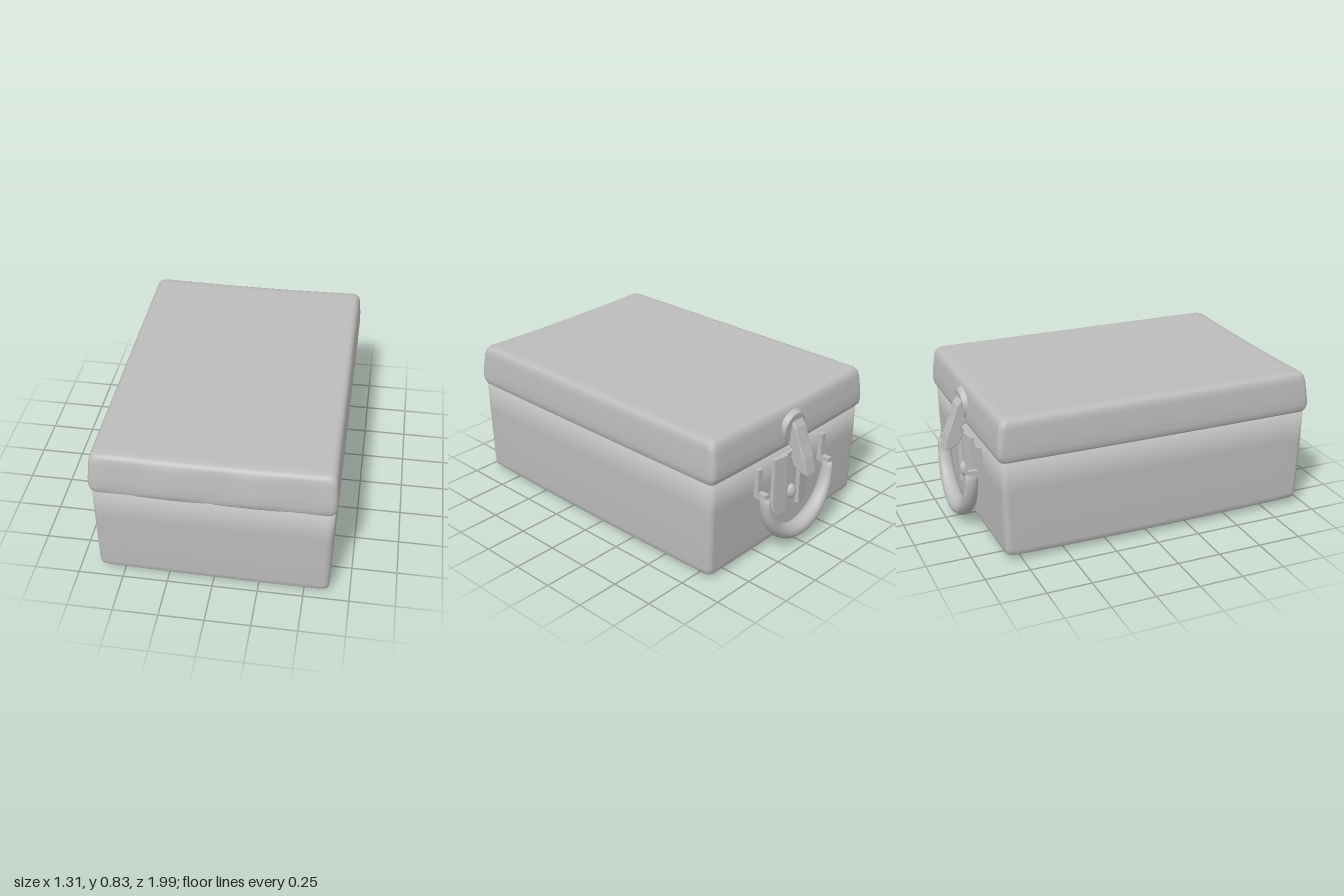
import * as THREE from 'three';

const grey = new THREE.MeshStandardMaterial({ color: 0xbcbcbc });
grey.name = 'plain grey';

// Skin a list of equal-length closed rings and cap both ends
function loft(rings) {
  const n = rings[0].length, pos = [], idx = [];
  rings.forEach(r => r.forEach(p => pos.push(p.x, p.y, p.z)));
  for (let i = 0; i < rings.length - 1; i++) {
    for (let j = 0; j < n; j++) {
      const k = (j + 1) % n;
      const a = i * n + j, b = i * n + k, c = b + n, d = a + n;
      idx.push(a, b, c, a, c, d);
    }
  }
  [rings[0], rings[rings.length - 1]].forEach((ring, end) => {
    const c = ring.reduce((s, p) => s.add(p), new THREE.Vector3()).divideScalar(n);
    const ci = pos.length / 3, base = end ? (rings.length - 1) * n : 0;
    pos.push(c.x, c.y, c.z);
    for (let j = 0; j < n; j++) {
      const a = base + j, b = base + (j + 1) % n;
      if (end) idx.push(ci, a, b); else idx.push(ci, b, a);
    }
  });
  const g = new THREE.BufferGeometry();
  g.setAttribute('position', new THREE.Float32BufferAttribute(pos, 3));
  g.setIndex(idx);
  g.computeVertexNormals();
  return g;
}

// Horizontal rounded rectangle, slightly warped like a hand-made case
function caseRing([y, hx, back, front, wave = 0]) {
  const r = Math.min(0.035, hx * 0.5), pts = [];
  const cx = hx - r, zb = back + r, zf = front - r;
  const corners = [[cx, zb, 0], [-cx, zb, 1], [-cx, zf, 2], [cx, zf, 3]];
  corners.forEach(([x, z, q], i) => {
    for (let s = 0; s <= 4; s++) {
      const a = (q + s / 4) * Math.PI / 2;
      pts.push(new THREE.Vector3(x + r * Math.cos(a), y, z - r * Math.sin(a)));
    }
    const p = pts[pts.length - 1], [nx, nz, nq] = corners[(i + 1) % 4];
    const a = nq * Math.PI / 2;
    const q2 = new THREE.Vector3(nx + r * Math.cos(a), y, nz - r * Math.sin(a));
    for (let s = 1; s < 12; s++) pts.push(p.clone().lerp(q2, s / 12));
  });
  pts.forEach(p => {
    const t = p.y / 0.82, x2 = (p.x / 0.64) ** 2;
    if (p.z > 0.9) p.z -= wave * (0.5 + 0.5 * Math.cos(p.x * 14));
    p.y += (1 - t) * (0.012 * p.z * p.z + 0.005 * x2 - 0.009 * p.x / 0.64) + t * 0.01 * x2;
  });
  return pts;
}

export function createModel() {
  const root = new THREE.Group();
  root.name = 'carryCase';
  const add = (name, geo, x = 0, y = 0, z = 0) => {
    const m = new THREE.Mesh(geo, grey);
    m.name = name;
    m.position.set(x, y, z);
    root.add(m);
    return m;
  };

  // Lower box: rows are height, half width, back z, front z
  add('caseBody', loft([
    [0.003, 0.2, -0.3, 0.45], [0.003, 0.45, -0.62, 0.75], [0.004, 0.6, -0.805, 0.925],
    [0.010, 0.622, -0.828, 0.948], [0.022, 0.634, -0.838, 0.958], [0.05, 0.638, -0.841, 0.963],
    [0.2, 0.64, -0.845, 0.967], [0.4, 0.641, -0.85, 0.973], [0.59, 0.642, -0.853, 0.976],
  ].map(caseRing)));

  // Lid with a flared lip that tapers in towards the top
  add('lid', loft([
    [0.565, 0.636, -0.846, 0.968], [0.575, 0.643, -0.855, 0.977, 0.002],
    [0.59, 0.651, -0.866, 0.985, 0.008], [0.62, 0.655, -0.872, 0.994, 0.015],
    [0.68, 0.652, -0.868, 0.987, 0.012], [0.76, 0.646, -0.858, 0.974, 0.008],
    [0.788, 0.641, -0.85, 0.966, 0.004], [0.806, 0.630, -0.838, 0.954], [0.814, 0.612, -0.82, 0.935],
    [0.816, 0.58, -0.78, 0.89], [0.812, 0.45, -0.62, 0.75], [0.811, 0.2, -0.3, 0.45],
  ].map(caseRing)));

  // Crescent handle, thickest at the bottom of its swing
  const rings = [];
  for (let i = 0; i <= 24; i++) {
    const a = i / 24 * Math.PI, s = Math.sin(a);
    const c = new THREE.Vector3(-0.28 * Math.cos(a), 0.38 - 0.305 * s, -0.913 - 0.012 * s);
    const out = new THREE.Vector3(-Math.cos(a), -s, 0);
    const ring = [];
    for (let j = 0; j < 12; j++) {
      const b = j / 12 * Math.PI * 2;
      const p = c.clone().addScaledVector(out, (0.018 + 0.026 * s) * Math.cos(b));
      p.z += (0.034 + 0.018 * s) * Math.sin(b);
      ring.push(p);
    }
    rings.push(ring.reverse());
  }
  add('handle', loft(rings));

  // Straps holding the handle ends
  for (const side of [-1, 1]) {
    const name = side > 0 ? 'left' : 'right';
    add(name + 'HandleStrap', new THREE.BoxGeometry(0.035, 0.17, 0.03), side * 0.28, 0.455, -0.865);
    add(name + 'HandlePin', new THREE.BoxGeometry(0.03, 0.04, 0.06), side * 0.28, 0.385, -0.9);
  }

  // Lock plate with a folded channel down the middle
  const plate = new THREE.Shape([
    [-0.15, 0.83], [-0.15, 0.872], [-0.06, 0.888], [-0.045, 0.872],
    [0.045, 0.872], [0.06, 0.888], [0.15, 0.872], [0.15, 0.83],
  ].map(p => new THREE.Vector2(...p)));
  const plateGeo = new THREE.ExtrudeGeometry(plate, { depth: 0.35, bevelEnabled: false });
  plateGeo.rotateX(-Math.PI / 2);
  add('lockPlate', plateGeo, 0, 0.19, 0);
  add('lockStud', new THREE.SphereGeometry(0.035, 16, 10), 0, 0.29, -0.875).scale.set(0.9, 1.3, 0.8);

  // Round latch mount on the lid
  const mount = add('latchMount', new THREE.CylinderGeometry(0.085, 0.1, 0.03, 28), 0, 0.69, -0.868);
  mount.rotation.x = -Math.PI / 2 - 0.1;

  // Latch tongue, drawn in side profile: depth behind the case, height
  const tongue = new THREE.Shape([
    [0.85, 0.73], [0.888, 0.728], [0.91, 0.70], [0.945, 0.60], [0.975, 0.53], [0.996, 0.445],
    [0.95, 0.452], [0.912, 0.475], [0.89, 0.52], [0.895, 0.575], [0.86, 0.60],
  ].map(p => new THREE.Vector2(...p)));
  const tongueGeo = new THREE.ExtrudeGeometry(tongue, {
    depth: 0.07, bevelThickness: 0.01, bevelSize: 0.006, bevelOffset: -0.003, bevelSegments: 2,
  });
  tongueGeo.translate(0, 0, -0.035).rotateY(Math.PI / 2);
  add('latchTongue', tongueGeo, -0.01, 0, 0);

  return root;
}
